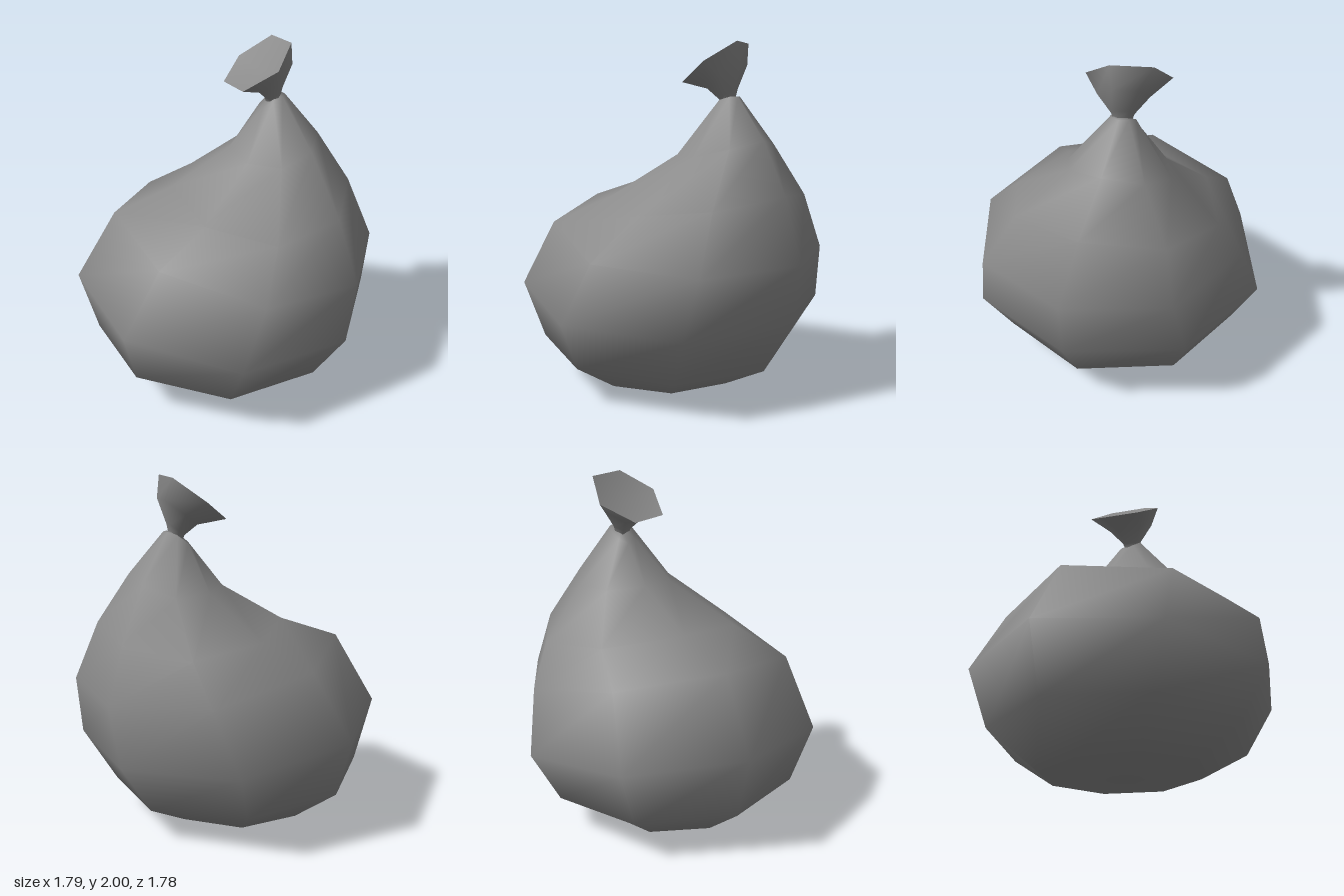
import * as THREE from 'three';

// Skin a list of rings (a single point closes an end), smooth shaded
function loft(rings, name, material) {
  const points = rings.flat();
  const starts = [];
  let total = 0;
  for (const ring of rings) {
    starts.push(total);
    total += ring.length;
  }
  const index = [];
  for (let i = 0; i < rings.length - 1; i++) {
    const low = rings[i].length, high = rings[i + 1].length;
    for (let j = 0; j < Math.max(low, high); j++) {
      const a = starts[i] + (j % low), b = starts[i] + ((j + 1) % low);
      const c = starts[i + 1] + (j % high), d = starts[i + 1] + ((j + 1) % high);
      if (a !== b) index.push(a, c, b);
      if (c !== d) index.push(b, c, d);
    }
  }
  const geometry = new THREE.BufferGeometry();
  geometry.setAttribute('position', new THREE.Float32BufferAttribute(points.flat(), 3));
  geometry.setIndex(index);
  geometry.computeVertexNormals();
  const mesh = new THREE.Mesh(geometry, material);
  mesh.name = name;
  return mesh;
}

// Eight-sided sack ring: side x positions and heights, middle height, z radius and centre
function sackRing([xLeft, yLeft, xRight, yRight, yMid, radiusZ, z]) {
  return Array.from({ length: 8 }, (_, j) => {
    const c = Math.cos(j * Math.PI / 4), s = Math.sin(j * Math.PI / 4);
    return [
      (xLeft + xRight) / 2 + c * (xRight - xLeft) / 2,
      yMid + c * (yRight - yLeft) / 2 + c * c * ((yLeft + yRight) / 2 - yMid),
      z + s * radiusZ,
    ];
  });
}

export function createModel() {
  const model = new THREE.Group();
  model.name = 'tiedSack';
  const plastic = new THREE.MeshStandardMaterial({ color: 0x8a8a8a });
  plastic.name = 'grey plastic';

  // Slumped body, leaning up to the neck
  const bodyRings = [
    [-0.52, 0.03, 0.40, 0.03, 0.03, 0.46, 0],
    [-0.80, 0.26, 0.67, 0.17, 0.21, 0.74, 0],
    [-0.90, 0.64, 0.865, 0.48, 0.50, 0.89, 0],
    [-0.66, 1.05, 0.895, 0.81, 0.84, 0.80, 0],
    [-0.32, 1.17, 0.75, 1.16, 1.07, 0.615, -0.06],
    [0.03, 1.38, 0.56, 1.45, 1.36, 0.30, -0.12],
    [0.20, 1.60, 0.36, 1.69, 1.67, 0.07, -0.14],
  ].map(sackRing);
  model.add(loft([[[-0.06, 0, 0]], ...bodyRings, [[0.295, 1.68, -0.14]]], 'body', plastic));

  // Flared six-sided gather above the knot
  const rim = [
    [0.38, 2.00, -0.10], [0.28, 1.89, 0.07], [0.09, 1.77, 0.03],
    [0.01, 1.76, -0.19], [0.12, 1.86, -0.355], [0.305, 1.99, -0.31],
  ];
  const rimCentre = [0.2, 1.88, -0.14];
  const shrink = (scale, centre) => rim.map(p => p.map((v, k) => centre[k] + (v - rimCentre[k]) * scale));
  model.add(loft([
    shrink(0.22, [0.295, 1.665, -0.14]),
    shrink(0.27, [0.295, 1.70, -0.14]),
    shrink(0.6, [0.285, 1.80, -0.14]),
    rim,
  ], 'gatheredTop', plastic));

  // Shallow hollow inside the gather
  model.add(loft([rim, [[0.225, 1.83, -0.14]]], 'gatherHollow', plastic));
  return model;
}
